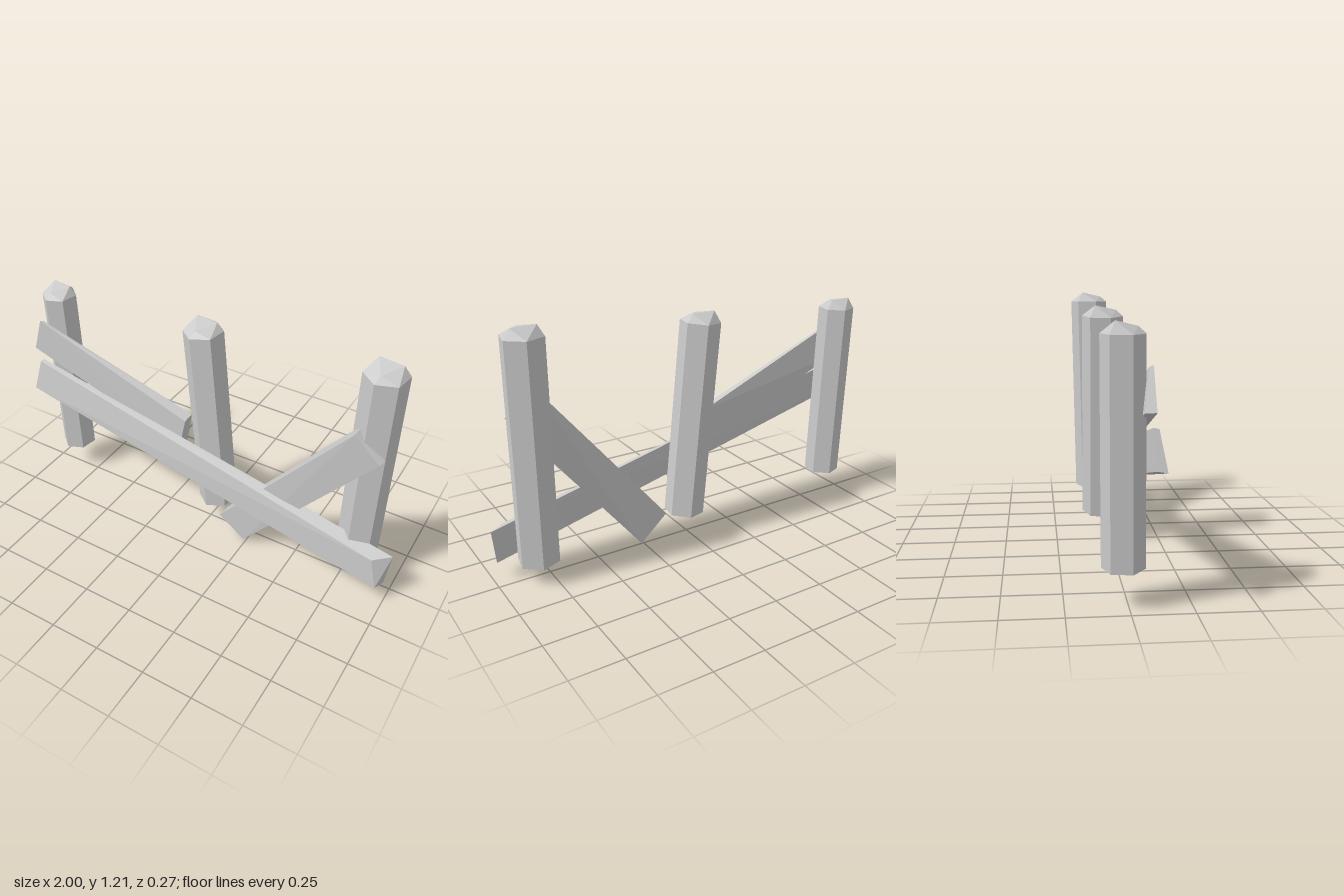
import * as THREE from 'three';
import { ConvexGeometry } from 'three/addons/geometries/ConvexGeometry.js';

const material = new THREE.MeshStandardMaterial({ color: 0xcccccc, flatShading: true });

// Faceted solid spanned by a few corner points
function hull(name, corners) {
  const points = corners.map((c) => new THREE.Vector3(...c));
  const mesh = new THREE.Mesh(new ConvexGeometry(points), material);
  mesh.name = name;
  return mesh;
}

// Point on a circle around a centre, angle measured from +x towards +z
function around([x, y, z], radius, degrees, lift = 0) {
  const a = THREE.MathUtils.degToRad(degrees);
  return [x + radius * Math.cos(a), y + lift, z + radius * Math.sin(a)];
}

// Leaning six-sided post with a three-cornered, roughly hewn tip
function post(name, foot, shoulder, radius) {
  const corners = [];
  const lean = (shoulder[0] - foot[0]) / (shoulder[1] - foot[1]);
  for (let i = 0; i < 6; i++) {
    const angle = 40 + i * 60;
    // the end faces stay square to the leaning axis
    const tilt = -lean * radius * Math.cos(THREE.MathUtils.degToRad(angle));
    corners.push(around(foot, radius, angle, tilt), around(shoulder, radius, angle, tilt));
  }
  for (const [angle, lift] of [[-25, 0.045], [-145, 0.05], [95, 0.028]]) {
    corners.push(around(shoulder, radius * 0.66, angle, lift));
  }
  return hull(name, corners);
}

export function createModel() {
  const group = new THREE.Group();
  group.name = 'brokenFence';

  // Posts
  group.add(
    post('rightPost', [-0.875, 0.145, -0.018], [-0.9, 1.055, -0.025], 0.088),
    post('middlePost', [0.03, 0.135, -0.025], [-0.06, 1.1, -0.03], 0.097),
    post('leftPost', [0.805, 0.09, -0.013], [0.815, 1.162, -0.035], 0.1),
  );

  // Long fallen rail across the front
  group.add(hull('longRail', [
    [-1, 0.545, 0.135], [-0.965, 0.705, 0.105], [-0.99, 0.55, 0.095], [-0.96, 0.71, 0.085],
    [0.92, 0.255, 0.11], [0.96, 0.1, 0.12], [1, 0.262, 0.045], [0.98, 0.09, 0.06],
  ]));

  // Short upper rail, snapped off at the middle post
  group.add(hull('upperRail', [
    [-1, 0.77, 0.092], [-0.95, 0.94, 0.084], [-0.97, 0.765, 0.05], [-0.94, 0.935, 0.07],
    [-0.11, 0.62, 0.062], [-0.14, 0.46, 0.07], [-0.105, 0.63, 0.008], [-0.13, 0.465, 0.012],
  ]));

  // Loose rail leaning against the left post
  group.add(hull('leaningRail', [
    [0.755, 0.905, 0.085], [0.875, 0.775, 0.072], [0.765, 0.915, 0], [0.89, 0.785, 0.045],
    [0.1, 0.115, 0.08], [0.24, 0.01, 0.08], [0.115, 0.125, 0.005], [0.26, 0, 0],
  ]));

  return group;
}
